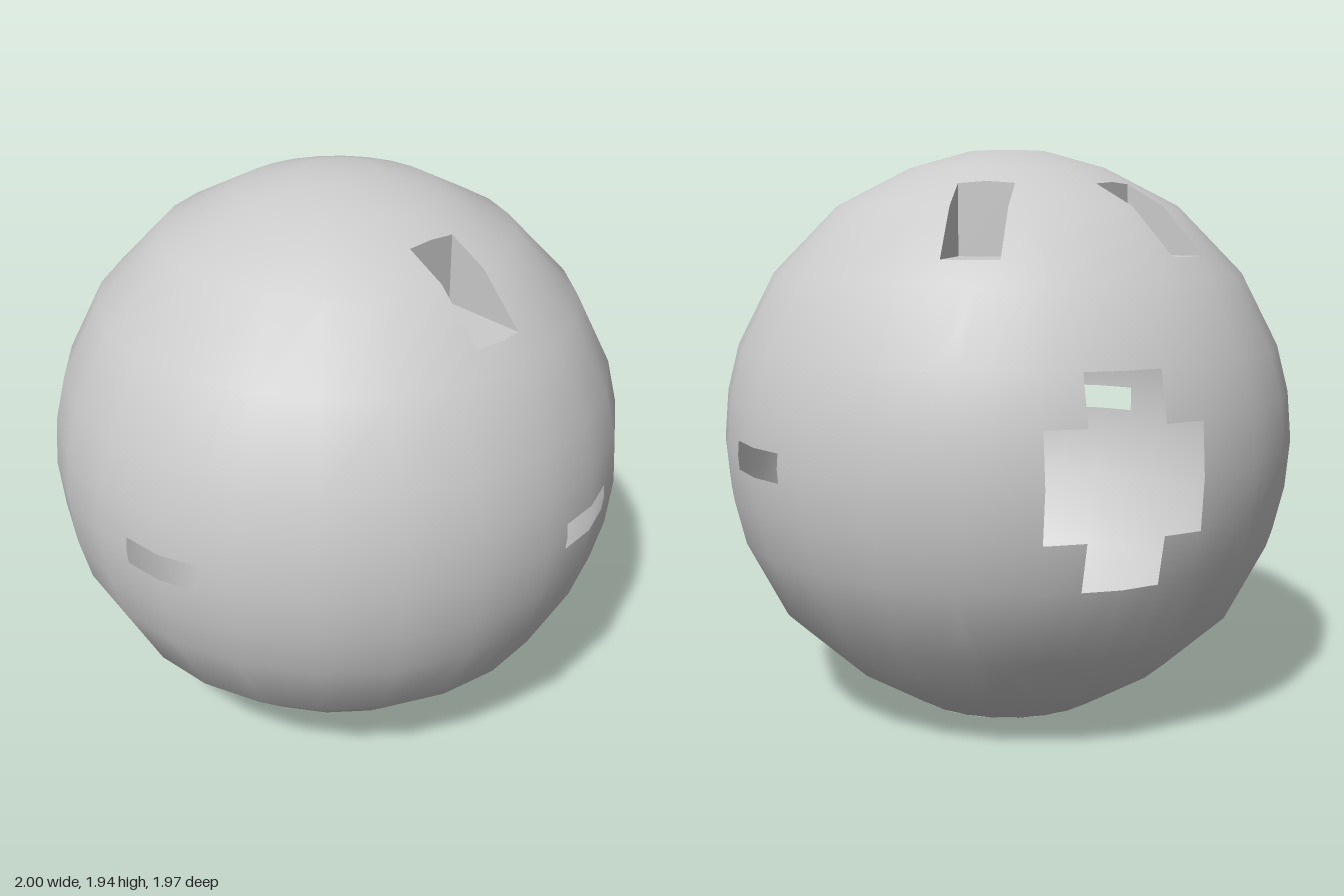
import * as THREE from 'three';
import { mergeVertices, toCreasedNormals } from 'three/addons/utils/BufferGeometryUtils.js';

const SIDES = 24;
const CENTRE = new THREE.Vector3(0, 0.942, -0.018);
const BEVEL = Math.tan(Math.PI / SIDES);
const rad = THREE.MathUtils.degToRad;

// Shell profile from base to crown: [radius, height above the centre]
const PROFILE = [
  [0.357, -0.942], [0.6, -0.79], [0.812, -0.592], [0.948, -0.325], [0.985, -0.17], [1, 0],
  [0.985, 0.17], [0.944, 0.33], [0.816, 0.578], [0.595, 0.804], [0.34, 0.935], [0.136, 0.992], [0, 0.998],
];

// Notch size: inner wall distance, half width, floor height
const NOTCH = { inner: 0.442, half: 0.092, floor: 0.645 };

const material = () => new THREE.MeshStandardMaterial({ color: 0xcccccc, side: THREE.DoubleSide });

// Convex cutter facing an azimuth: a list of planes, inside where n.p > d
function cutter(azimuth, half, y0, y1, inner = 0) {
  const a = rad(azimuth);
  const out = new THREE.Vector3(Math.sin(a), 0, Math.cos(a));
  const side = new THREE.Vector3(Math.cos(a), 0, -Math.sin(a));
  const up = new THREE.Vector3(0, 1, 0);
  return [
    [out, inner], [side, -half], [side.clone().negate(), -half],
    [up, y0], [up.clone().negate(), -y1],
  ];
}

// Keep the part of a polygon on one side of a plane
function clip(poly, [n, d], sign) {
  const result = [];
  poly.forEach((p, i) => {
    const q = poly[(i + 1) % poly.length];
    const dp = sign * (n.dot(p) - d), dq = sign * (n.dot(q) - d);
    if (dp >= 0) result.push(p);
    if (dp * dq < 0) result.push(p.clone().lerp(q, dp / (dp - dq)));
  });
  return result;
}

// Split a polygon into the pieces that lie outside a cutter
function subtract(poly, planes) {
  const pieces = [];
  let rest = poly;
  for (const plane of planes) {
    const outside = clip(rest, plane, -1);
    if (outside.length > 2) pieces.push(outside);
    rest = clip(rest, plane, 1);
    if (rest.length < 3) return pieces.length ? pieces : [poly];
  }
  return pieces;
}

function polygonsToGeometry(polys) {
  const points = [];
  for (const p of polys) {
    for (let i = 1; i < p.length - 1; i++) points.push(p[0], p[i], p[i + 1]);
  }
  const g = new THREE.BufferGeometry().setFromPoints(points);
  g.computeVertexNormals();
  return g;
}

// Faceted ball with smooth radial normals and openings cut through it
function shellGeometry(cutters) {
  const at = ([r, y], i) => {
    const a = (i / SIDES) * Math.PI * 2;
    return new THREE.Vector3(r * Math.sin(a), y, r * Math.cos(a));
  };
  let polys = [];
  for (let j = 0; j < PROFILE.length - 1; j++) {
    const lo = PROFILE[j], hi = PROFILE[j + 1];
    for (let i = 0; i < SIDES; i++) {
      const quad = [at(lo, i), at(lo, i + 1), at(hi, i + 1)];
      if (hi[0] > 0) quad.push(at(hi, i));
      polys.push(quad);
    }
  }
  for (const c of cutters) polys = polys.flatMap((p) => subtract(p, c));
  const g = polygonsToGeometry(polys);
  const pos = g.attributes.position, n = new THREE.Vector3();
  for (let i = 0; i < pos.count; i++) {
    n.fromBufferAttribute(pos, i).normalize();
    g.attributes.normal.setXYZ(i, n.x, n.y, n.z);
  }
  return mergeVertices(g);
}

// Profile lookups on the upper half
function heightAt(r) {
  const k = PROFILE.findIndex(([pr, y]) => y > 0 && pr < r);
  const [r0, y0] = PROFILE[k - 1], [r1, y1] = PROFILE[k];
  return y0 + ((r - r0) / (r1 - r0)) * (y1 - y0);
}
function radiusAt(y) {
  const k = PROFILE.findIndex((p) => p[1] > y);
  const [r0, y0] = PROFILE[k - 1], [r1, y1] = PROFILE[k];
  return r0 + ((y - y0) / (y1 - y0)) * (r1 - r0);
}

// Floor, inner wall and side walls of a notch facing +z
function notchGeometry() {
  const { inner, half, floor } = NOTCH;
  const V = (x, y, z) => new THREE.Vector3(x, y, z);
  const edge = (x, y) => V(x, y, radiusAt(y) - Math.abs(x) * BEVEL);
  const top = (x) => V(x, heightAt(inner + Math.abs(x) * BEVEL), inner);
  const wall = (x) => [V(x, floor, inner), edge(x, floor), edge(x, 0.804), top(x)];
  return polygonsToGeometry([
    [V(-half, floor, inner), edge(-half, floor), edge(0, floor), edge(half, floor), V(half, floor, inner)],
    [V(-half, floor, inner), V(half, floor, inner), top(half), top(0), top(-half)],
    wall(-half),
    wall(half).reverse(),
  ]);
}

export function createModel() {
  const model = new THREE.Group();
  const ball = new THREE.Group();
  ball.name = 'ball';
  ball.position.copy(CENTRE);
  model.add(ball);

  const add = (name, geometry) => {
    const mesh = new THREE.Mesh(geometry, material());
    mesh.name = name;
    ball.add(mesh);
    return mesh;
  };

  const notchAngles = [30, 150, 210];
  const slotAngles = [45, -45, 104.4, -104.4];

  // Hollow shell: side slots, cross opening at the back, notches near the crown
  add('shell', shellGeometry([
    ...slotAngles.map((a) => cutter(a, 0.142, -0.047, 0.049)),
    cutter(180, 0.26, -0.17, 0.17),
    cutter(180, 0.127, -0.33, 0.33),
    ...notchAngles.map((a) => cutter(a, NOTCH.half, NOTCH.floor, 2, NOTCH.inner)),
  ]));

  // Stepped pockets behind the crown notches
  for (const a of notchAngles) add('notch', notchGeometry()).rotation.y = rad(a);

  // Recessed base plate with concentric steps
  const steps = [
    [0, 0.047], [0.045, 0.047], [0.045, 0.039], [0.14, 0.039], [0.14, 0.032],
    [0.242, 0.032], [0.242, 0.029], [0.357, 0.029], [0.357, 0],
  ].map(([r, y]) => new THREE.Vector2(r, y - CENTRE.y));
  add('basePlate', toCreasedNormals(new THREE.LatheGeometry(steps, SIDES * 2), rad(35)));

  return model;
}
